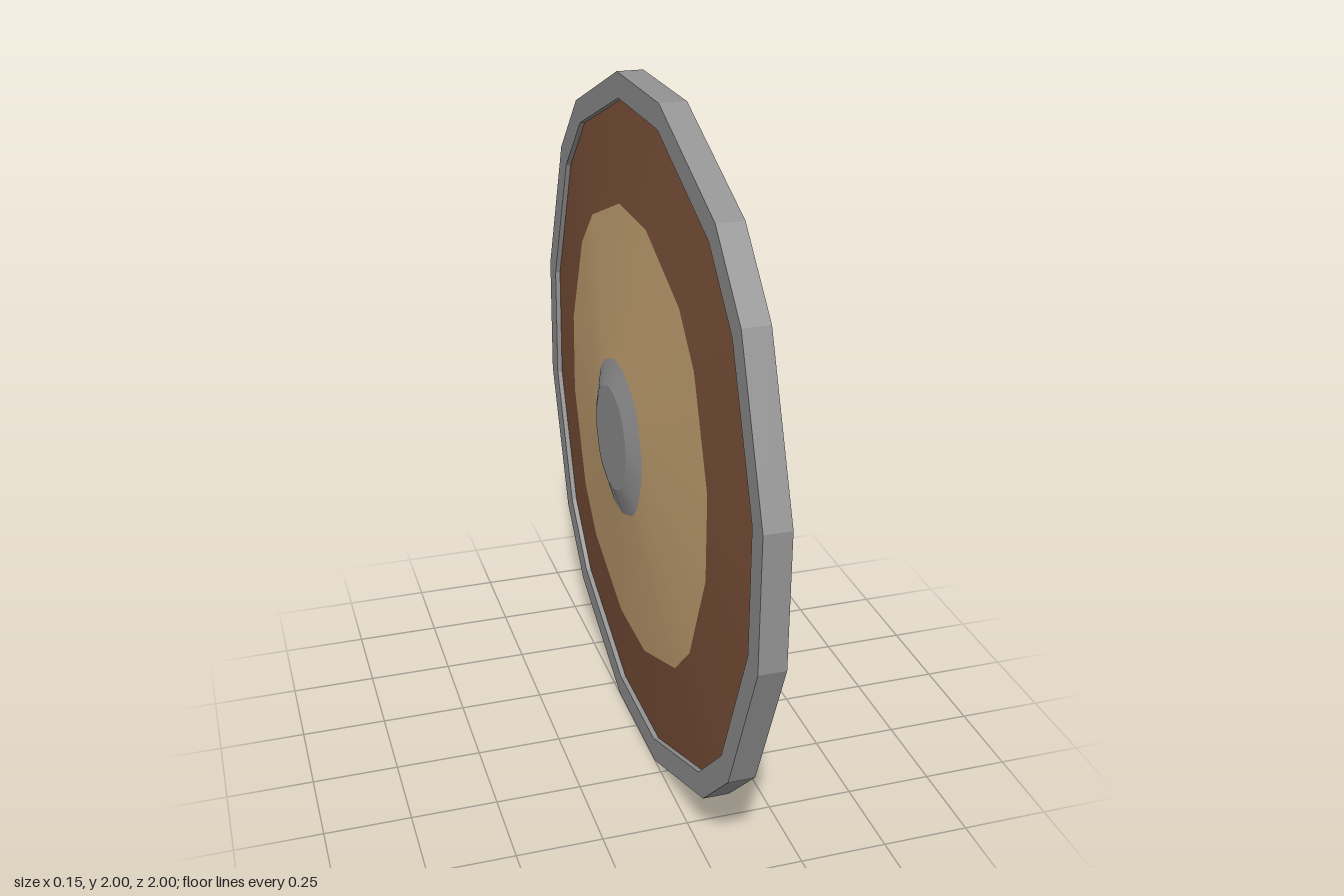
import * as THREE from 'three';

// Sixteen-sided outline, one quadrant of corners turned four times
const QUADRANT = [[1, 0.19], [0.82, 0.63], [0.63, 0.82], [0.19, 1]];
function outline(scale) {
  const pts = [];
  for (let q = 0; q < 4; q++) {
    for (const [x, y] of QUADRANT) {
      pts.push(new THREE.Vector2(x * scale, y * scale).rotateAround(new THREE.Vector2(), q * Math.PI / 2));
    }
  }
  return pts;
}

// Sloping band between two outlines, facing -z
function band(rOuter, zOuter, rInner, zInner) {
  const o = outline(rOuter), n = outline(rInner), pos = [], index = [], count = o.length;
  o.forEach((p, i) => {
    pos.push(p.x, p.y, zOuter, n[i].x, n[i].y, zInner);
    const a = 2 * i, b = 2 * ((i + 1) % count);
    index.push(a, a + 1, b, a + 1, b + 1, b);
  });
  const g = new THREE.BufferGeometry();
  g.setAttribute('position', new THREE.Float32BufferAttribute(pos, 3));
  g.setIndex(index);
  g.computeVertexNormals();
  return g;
}

export function createModel() {
  const model = new THREE.Group();
  model.name = 'shield';
  const metal = new THREE.MeshStandardMaterial({ color: 0x939393 });
  const wood = new THREE.MeshStandardMaterial({ color: 0xc8a574 });
  const leather = new THREE.MeshStandardMaterial({ color: 0x7e523a });

  // Built facing along z, then turned so the axis lies along x
  const body = new THREE.Group();
  body.name = 'shieldBody';
  body.rotation.y = Math.PI / 2;
  body.position.y = 1;
  model.add(body);

  const add = (name, geometry, material) => {
    const mesh = new THREE.Mesh(geometry, material);
    mesh.name = name;
    body.add(mesh);
    return mesh;
  };

  // Metal rim
  const rimShape = new THREE.Shape(outline(1));
  rimShape.holes.push(new THREE.Path(outline(0.93)));
  add('rim', new THREE.ExtrudeGeometry(rimShape, { depth: 0.075, bevelEnabled: false }), metal);

  // Flat inner board, slightly recessed in the rim
  add('backBoard', new THREE.ShapeGeometry(new THREE.Shape(outline(0.93))), wood).position.z = 0.06;

  // Shallow cone: dark outer band, light inner band
  add('outerBand', band(0.93, 0.015, 0.65, -0.013), leather);
  add('innerBand', band(0.65, -0.013, 0.225, -0.055), wood);

  // Central boss with a flat cap
  add('bossSide', band(0.225, -0.055, 0.15, -0.078), metal);
  const cap = add('bossCap', new THREE.ShapeGeometry(new THREE.Shape(outline(0.15))), metal);
  cap.rotation.y = Math.PI;
  cap.position.z = -0.078;

  return model;
}
